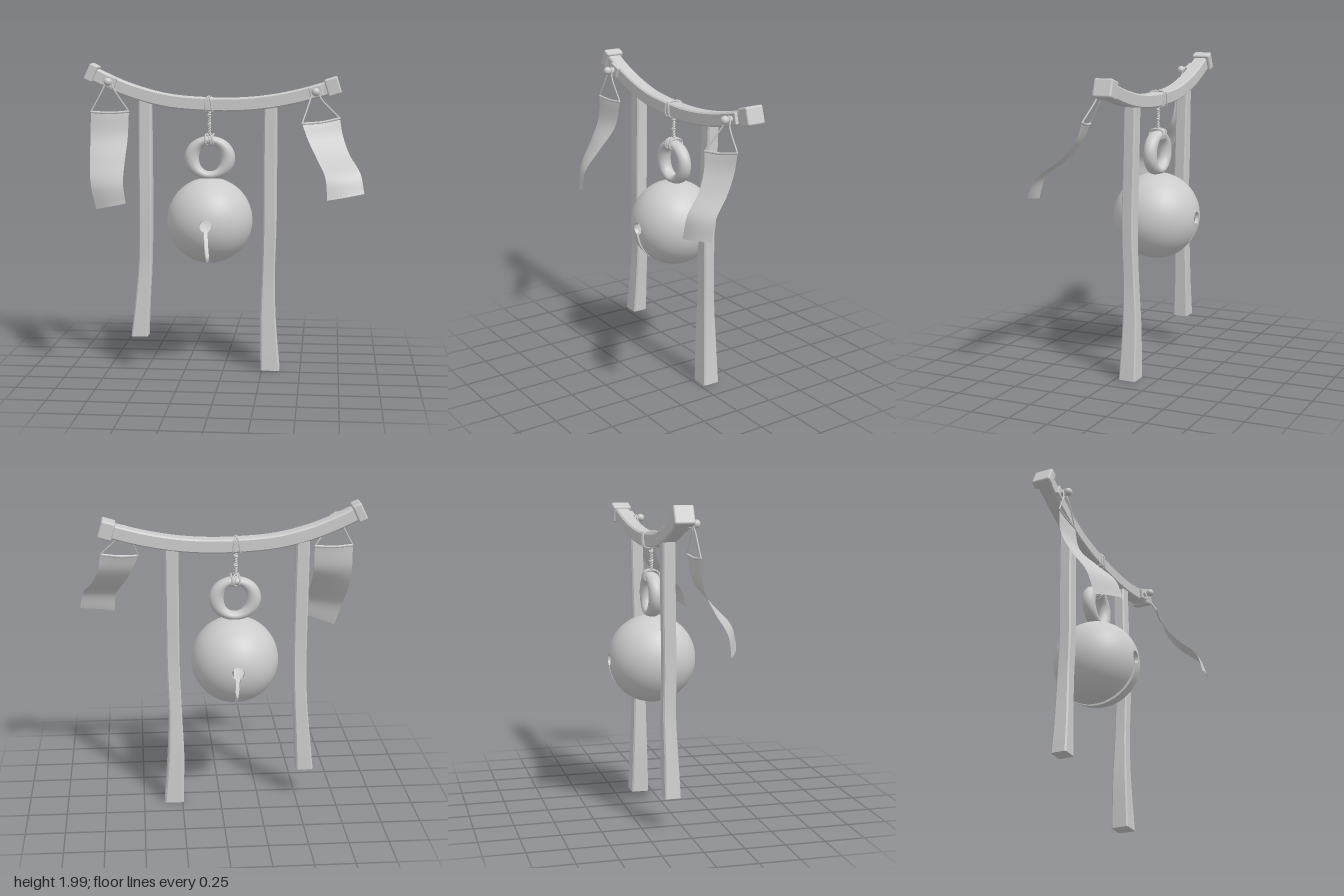
import * as THREE from 'three';
import { toCreasedNormals, mergeVertices } from 'three/addons/utils/BufferGeometryUtils.js';
import { RoundedBoxGeometry } from 'three/addons/geometries/RoundedBoxGeometry.js';

const solid = new THREE.MeshStandardMaterial({ color: 0xcccccc });
const sheet = new THREE.MeshStandardMaterial({ color: 0xcccccc, side: THREE.DoubleSide });
const V = (x, y, z) => new THREE.Vector3(x, y, z);
const curveOf = (pts) => new THREE.CatmullRomCurve3(pts.map((p) => V(...p)));

function add(parent, name, geometry, material = solid) {
  const mesh = new THREE.Mesh(geometry, material);
  mesh.name = name;
  parent.add(mesh);
  return mesh;
}

// Indexed surface from a rule f(u, v) -> Vector3
function grid(f, nu, nv) {
  const pos = [], idx = [];
  for (let i = 0; i <= nu; i++)
    for (let j = 0; j <= nv; j++) pos.push(...f(i / nu, j / nv).toArray());
  for (let i = 0; i < nu; i++)
    for (let j = 0; j < nv; j++) {
      const a = i * (nv + 1) + j, b = a + nv + 1;
      idx.push(a, b, b + 1, a, b + 1, a + 1);
    }
  const g = new THREE.BufferGeometry();
  g.setAttribute('position', new THREE.Float32BufferAttribute(pos, 3));
  g.setIndex(idx);
  g.computeVertexNormals();
  return g;
}

// Square timber with chamfered edges swept along a curve; size(t) -> [width, depth, twist]
function timber(curve, size, steps, fixedAxis) {
  const pos = [], idx = [], n = 8;
  for (let i = 0; i <= steps; i++) {
    const t = i / steps, c = curve.getPoint(t);
    const T = fixedAxis || curve.getTangent(t);
    const [w, d, twist] = size(t);
    const B = V(0, 0, 1).addScaledVector(T, -T.z).normalize().applyAxisAngle(T, twist);
    const N = B.clone().cross(T);
    const a = w / 2, b = d / 2, k = 0.009;
    const section = [[a, k - b], [a, b - k], [a - k, b], [k - a, b], [-a, b - k], [-a, k - b], [k - a, -b], [a - k, -b]];
    for (const [p, q] of section) pos.push(...c.clone().addScaledVector(N, p).addScaledVector(B, q).toArray());
  }
  for (let i = 0; i < steps; i++)
    for (let j = 0; j < n; j++) {
      const a = i * n + j, b = i * n + (j + 1) % n;
      idx.push(a, b, b + n, a, b + n, a + n);
    }
  const e = steps * n;
  for (let j = 1; j < n - 1; j++) idx.push(0, j + 1, j, e, e + j, e + j + 1);
  const g = new THREE.BufferGeometry();
  g.setAttribute('position', new THREE.Float32BufferAttribute(pos, 3));
  g.setIndex(idx);
  return toCreasedNormals(g, 0.5);
}

// Cord wound in a squarish loop around a bar that runs along x
function coil(center, halfY, halfZ, halfX, turns, power) {
  const pts = [], n = turns * 20;
  const soft = (s) => Math.sign(s) * Math.abs(s) ** power;
  for (let i = 0; i <= n; i++) {
    const a = (i / 20) * Math.PI * 2;
    const drift = Math.sin((i / n) * Math.PI * 5) * halfX;
    pts.push(V(center.x + drift, center.y + halfY * soft(Math.cos(a)), center.z + halfZ * soft(Math.sin(a))));
  }
  return new THREE.TubeGeometry(new THREE.CatmullRomCurve3(pts), n * 2, 0.006, 6);
}

// Round bell: a hollow ball with a keyhole front and back joined by a slot underneath
function makeBell() {
  const bell = new THREE.Group();
  bell.name = 'bell';
  const R = 0.277, inner = 0.255, hole = 0.04, half = 0.013;
  const phi0 = Math.asin(hole / R);
  const point = (r, u, v) => {
    const phi = phi0 + v * (Math.PI - 2 * phi0), s = Math.sin(phi);
    const gap = Math.asin(half / (R * s));
    const a = -Math.PI / 2 + gap + u * 2 * (Math.PI - gap);
    return V(r * s * Math.cos(a), r * s * Math.sin(a), r * Math.cos(phi));
  };
  const wall = (k) => R + (inner - R) * k;
  add(bell, 'bellOuterShell', grid((u, v) => point(R, 1 - u, v), 72, 48), sheet);
  add(bell, 'bellInnerShell', grid((u, v) => point(inner, u, v), 72, 48), sheet);
  for (const end of [0, 1]) {
    add(bell, 'bellHoleRim', grid((u, k) => point(wall(k), u, end), 48, 1), sheet);
    add(bell, 'bellSlotWall', grid((v, k) => point(wall(k), end, v), 48, 1), sheet);
  }
  bell.position.set(-0.093, 0.987, -0.085);
  return bell;
}

// Hanging ring, thicker at its sides than at top and bottom
function makeRing() {
  const g = grid((u, v) => {
    const a = u * Math.PI * 2, b = v * Math.PI * 2, c = Math.cos(a);
    const w = 0.027 + 0.02 * c * c;
    const r = w * Math.cos(b);
    return V((0.117 + r) * c, (0.114 + r) * Math.sin(a), 0.043 * Math.sin(b));
  }, 64, 24);
  g.deleteAttribute('normal');
  const ring = mergeVertices(g, 1e-5);
  ring.computeVertexNormals();
  return ring;
}

// Banner with its peg, plate, cord and top rod
function makeBanner(name, peg, tilt, leftEdge, rightEdge) {
  const group = new THREE.Group();
  group.name = name;
  const [px, py, pz] = peg;
  const plate = add(group, 'pegPlate', new RoundedBoxGeometry(0.085, 0.072, 0.03, 2, 0.006));
  plate.position.set(px, py, pz - 0.06);
  plate.rotation.z = tilt;
  const stem = add(group, 'pegStem', new THREE.CylinderGeometry(0.014, 0.02, 0.06, 16));
  stem.rotation.x = Math.PI / 2;
  stem.position.set(px, py, pz - 0.025);
  add(group, 'pegBall', new THREE.SphereGeometry(0.026, 20, 14)).position.set(px, py, pz);

  const L = curveOf(leftEdge), R = curveOf(rightEdge);
  const cloth = grid((u, v) => {
    const p = L.getPoint(v).lerp(R.getPoint(v), u);
    p.z += 0.012 * Math.sin(u * Math.PI) * v;
    p.y -= 0.008 * Math.sin(u * Math.PI) * (1 - v);
    return p;
  }, 12, 32);
  add(group, 'bannerCloth', cloth, sheet);

  const a = L.getPoint(0), b = R.getPoint(0);
  const mid = a.clone().lerp(b, 0.5).add(V(0, -0.008, 0));
  add(group, 'bannerRod', new THREE.TubeGeometry(new THREE.CatmullRomCurve3([a, mid, b]), 12, 0.008, 8));
  const cord = curveOf([
    a.toArray(), [px - 0.03, py - 0.035, pz - 0.015], [px - 0.018, py + 0.008, pz - 0.028], [px, py + 0.021, pz - 0.028],
    [px + 0.018, py + 0.008, pz - 0.028], [px + 0.03, py - 0.035, pz - 0.015], b.toArray(),
  ]);
  add(group, 'bannerCord', new THREE.TubeGeometry(cord, 60, 0.005, 6));
  return group;
}

export function createModel() {
  const model = new THREE.Group();
  model.name = 'hangingBellGate';

  // Curved crossbeam and its end caps
  const beam = curveOf([
    [-0.85, 1.93, -0.088], [-0.7, 1.86, -0.088], [-0.553, 1.806, -0.09], [-0.35, 1.757, -0.09], [-0.1, 1.737, -0.09],
    [0.1, 1.737, -0.09], [0.3, 1.756, -0.092], [0.5, 1.796, -0.098], [0.68, 1.847, -0.104],
  ]);
  add(model, 'crossbeam', timber(beam, () => [0.086, 0.092, 0], 32));
  for (const [x, y, z, w, h, angle] of [[-0.853, 1.935, -0.091, 0.06, 0.115, -0.44], [0.692, 1.852, -0.104, 0.088, 0.112, 0.3]]) {
    const cap = add(model, 'beamEndCap', new RoundedBoxGeometry(w, h, 0.122, 3, 0.012));
    cap.position.set(x, y, z);
    cap.rotation.z = angle;
  }

  // Crooked posts, widening towards the foot
  const up = V(0, 1, 0);
  const foot = (t) => Math.max(0, 1 - t / 0.45) ** 1.3;
  const rightPost = curveOf([
    [-0.554, 0.213, -0.08], [-0.535, 0.45, -0.084], [-0.517, 0.7, -0.088], [-0.51, 1, -0.082], [-0.51, 1.4, -0.088], [-0.51, 1.78, -0.092],
  ]);
  const leftPost = curveOf([
    [0.304, 0.005, -0.08], [0.288, 0.35, -0.082], [0.289, 0.6, -0.079], [0.298, 0.95, -0.073], [0.298, 1.35, -0.083], [0.299, 1.73, -0.092],
  ]);
  add(model, 'rightPost', timber(rightPost, (t) => [0.084 + 0.026 * foot(t), 0.08 + 0.02 * foot(t), 0.05 * Math.sin(t * 7)], 24, up));
  add(model, 'leftPost', timber(leftPost, (t) => [0.083 + 0.04 * foot(t), 0.078 + 0.036 * foot(t), 0.06 * Math.sin(t * 6)], 24, up));

  // Bell, ring and the rope that carries them
  model.add(makeBell());
  add(model, 'bellRing', makeRing()).position.set(-0.093, 1.392, -0.088);
  add(model, 'beamLashing', coil(V(-0.098, 1.737, -0.09), 0.049, 0.052, 0.026, 5, 0.45));
  add(model, 'ringLashing', coil(V(-0.093, 1.51, -0.088), 0.036, 0.049, 0.026, 4, 0.8));
  for (const phase of [0, Math.PI]) {
    const pts = [];
    for (let i = 0; i <= 40; i++) {
      const a = i * 0.8 + phase;
      pts.push([-0.097 + 0.007 * Math.cos(a), 1.7 - 0.0041 * i, -0.088 + 0.007 * Math.sin(a)]);
    }
    add(model, 'ropeStrand', new THREE.TubeGeometry(curveOf(pts), 120, 0.005, 6));
  }
  for (const y of [1.665, 1.605]) {
    const knot = add(model, 'ropeKnot', new THREE.TorusGeometry(0.01, 0.006, 8, 16));
    knot.position.set(-0.097, y, -0.088);
    knot.rotation.set(1.3, 0.4, 0);
  }

  // Wind-blown banners
  model.add(makeBanner('rightBanner', [-0.733, 1.88, 0.018], -0.36,
    [[-0.845, 1.69, 0.017], [-0.847, 1.53, 0.03], [-0.84, 1.38, 0.1], [-0.818, 1.24, 0.19], [-0.78, 1.093, 0.225]],
    [[-0.602, 1.692, 0.003], [-0.605, 1.53, 0.04], [-0.605, 1.39, 0.16], [-0.597, 1.26, 0.28], [-0.575, 1.143, 0.318]]));
  model.add(makeBanner('leftBanner', [0.585, 1.82, 0.008], 0.24,
    [[0.503, 1.627, 0.09], [0.545, 1.52, 0.125], [0.6, 1.415, 0.2], [0.653, 1.31, 0.315], [0.665, 1.18, 0.355]],
    [[0.738, 1.657, 0.025], [0.758, 1.55, 0.06], [0.8, 1.44, 0.14], [0.866, 1.335, 0.265], [0.89, 1.218, 0.31]]));
  return model;
}
